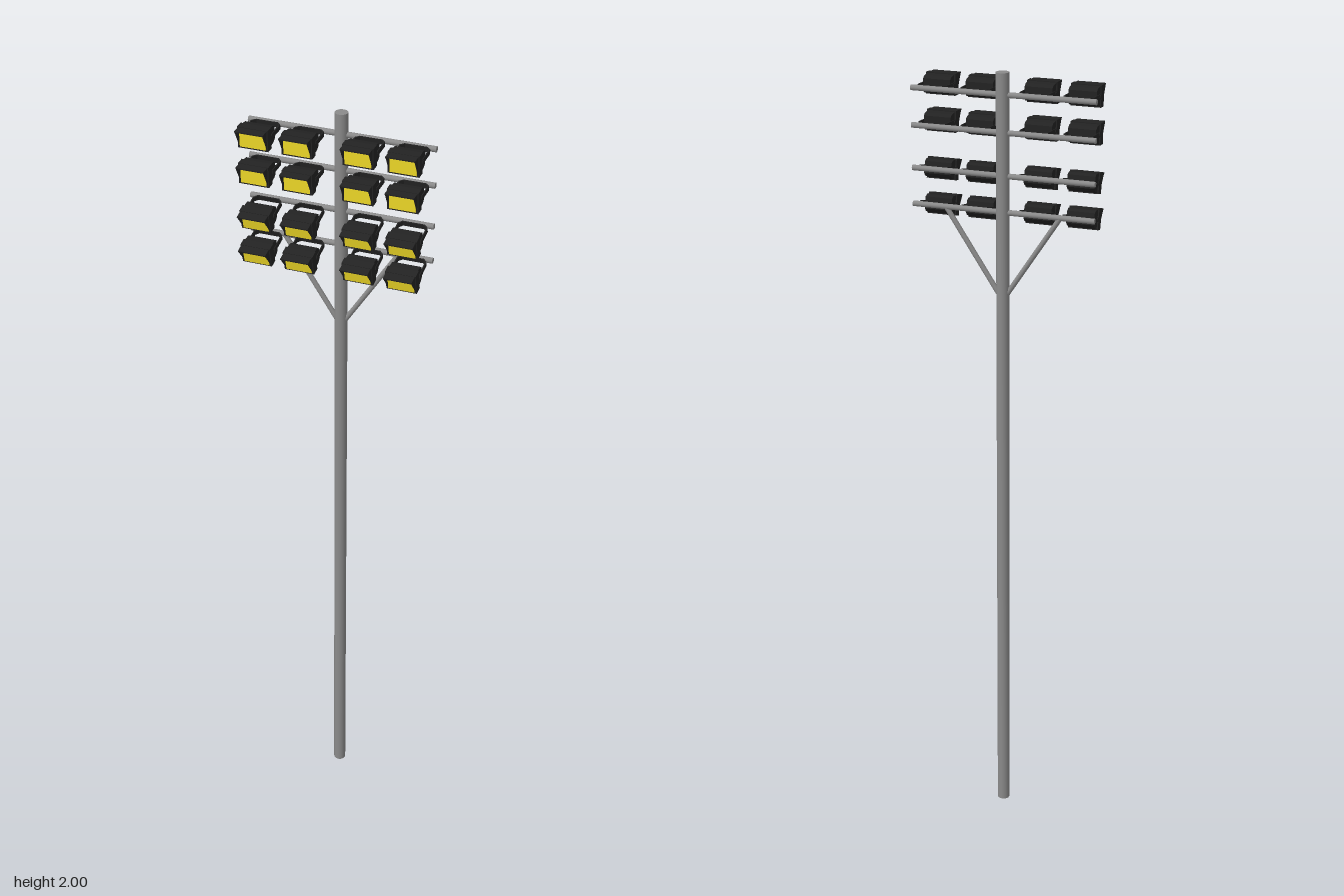
import * as THREE from 'three';

const steel = new THREE.MeshStandardMaterial({ color: 0x8a8a8a });
const black = new THREE.MeshStandardMaterial({ color: 0x222222 });
const yellow = new THREE.MeshStandardMaterial({ color: 0xf2dc28 });

const POLE_Z = -0.05;
const ARM_R = 0.007;

function add(parent, name, geometry, material) {
  const mesh = new THREE.Mesh(geometry, material);
  mesh.name = name;
  parent.add(mesh);
  return mesh;
}

// Round bar between two points
function bar(parent, name, a, b, radius, sides) {
  const dir = b.clone().sub(a);
  const mesh = add(parent, name, new THREE.CylinderGeometry(radius, radius, dir.length(), sides), steel);
  mesh.position.copy(a).add(b).multiplyScalar(0.5);
  mesh.quaternion.setFromUnitVectors(new THREE.Vector3(0, 1, 0), dir.normalize());
  return mesh;
}

// Side profile of [z, y] points, extruded across x and centred
function sideExtrude(points, width) {
  const shape = new THREE.Shape(points.map(([z, y]) => new THREE.Vector2(z, y)));
  return new THREE.ExtrudeGeometry(shape, { depth: width, bevelEnabled: false })
    .translate(0, 0, -width / 2).rotateY(-Math.PI / 2);
}

// U-shaped strap with chamfered corners, seen from above
function bracketGeometry() {
  const outline = (w, back, c) => [[-w, 0.066], [-w, back + c], [-w + c, back], [w - c, back], [w, back + c], [w, 0.066]];
  const points = [...outline(0.0365, 0, 0.009), ...outline(0.0335, 0.003, 0.008).reverse()];
  const shape = new THREE.Shape(points.map(p => new THREE.Vector2(...p)));
  return new THREE.ExtrudeGeometry(shape, { depth: 0.012, bevelEnabled: false })
    .rotateX(Math.PI / 2).translate(0, 0.006, 0);
}

const parts = {
  bracket: bracketGeometry(),
  // Tapered rear housing
  housing: sideExtrude([[0.038, -0.014], [0.046, -0.02], [0.066, -0.024], [0.066, 0.024], [0.046, 0.021], [0.038, 0.015]], 0.069),
  // Wider rim around the lens
  rim: new THREE.BoxGeometry(0.075, 0.052, 0.021).translate(0, 0, 0.0755),
  // Lens panel, just proud of the rim
  lens: new THREE.BoxGeometry(0.064, 0.042, 0.003).translate(0, -0.001, 0.0865),
  visor: new THREE.BoxGeometry(0.07, 0.003, 0.024).translate(0, 0.0235, 0.096),
  cheek: sideExtrude([[0.085, -0.02], [0.107, 0.023], [0.085, 0.023]], 0.002),
  pivot: new THREE.CylinderGeometry(0.005, 0.005, 0.076, 8).rotateZ(Math.PI / 2).translate(0, 0, 0.06),
};

function floodlight() {
  const lamp = new THREE.Group();
  lamp.name = 'floodlight';
  for (const name of ['bracket', 'housing', 'rim', 'visor', 'pivot']) add(lamp, name, parts[name], black);
  for (const side of [-1, 1]) add(lamp, 'visorCheek', parts.cheek, black).position.x = side * 0.034;
  add(lamp, 'lens', parts.lens, yellow);
  return lamp;
}

export function createModel() {
  const model = new THREE.Group();
  model.name = 'floodlightMast';

  const pole = add(model, 'pole', new THREE.CylinderGeometry(0.016, 0.016, 2, 20), steel);
  pole.position.set(0, 1, POLE_Z);

  // Four crossarms; the lower two rows tilt further down
  const rows = [[1.947, 3], [1.857, 3], [1.753, 14], [1.664, 14]];
  for (const [y, tilt] of rows) {
    bar(model, 'crossarm', new THREE.Vector3(-0.23, y, POLE_Z), new THREE.Vector3(0.23, y, POLE_Z), ARM_R, 12);
    for (const x of [-0.181, -0.073, 0.075, 0.183]) {
      const lamp = floodlight();
      lamp.position.set(x, y, POLE_Z + ARM_R);
      lamp.rotation.x = THREE.MathUtils.degToRad(tilt);
      model.add(lamp);
    }
  }

  // Diagonal braces under the lowest crossarm
  for (const side of [-1, 1]) {
    bar(model, 'brace', new THREE.Vector3(side * 0.005, 1.45, POLE_Z),
      new THREE.Vector3(side * 0.145, 1.664, POLE_Z), 0.0065, 10);
  }
  return model;
}
